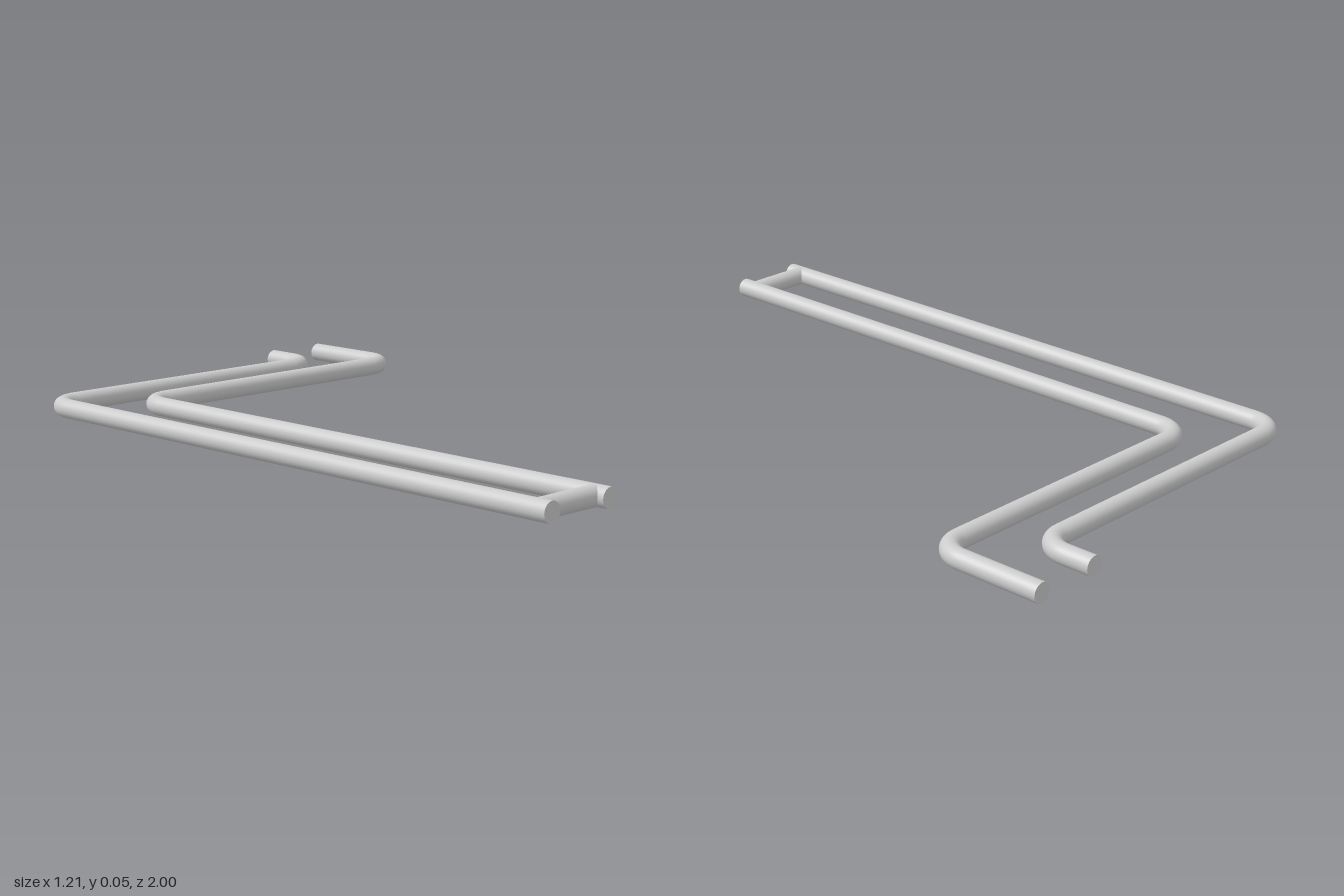
import * as THREE from 'three';
import { mergeGeometries } from 'three/addons/utils/BufferGeometryUtils.js';

const R = 0.0265;   // rod radius
const BEND = 0.077; // centre-line bend radius
const SIDES = 32;

// Round rod through corner points [x, z], with rounded bends and flat end caps
function rodGeometry(corners) {
  const pts = corners.map(([x, z]) => new THREE.Vector3(x, R, z));
  const last = pts.length - 1;
  const parts = [];
  const addTube = (curve, steps) =>
    parts.push(new THREE.TubeGeometry(curve, steps, R, SIDES, false));
  const addCap = (at, outward) => {
    const cap = new THREE.CircleGeometry(R, SIDES);
    cap.applyQuaternion(new THREE.Quaternion().setFromUnitVectors(new THREE.Vector3(0, 0, 1), outward));
    parts.push(cap.translate(at.x, at.y, at.z));
  };
  const dir = (a, b) => b.clone().sub(a).normalize();

  let start = pts[0];
  for (let i = 1; i < last; i++) {
    const p = pts[i], din = dir(pts[i - 1], p), dout = dir(p, pts[i + 1]);
    const along = (d, s) => p.clone().addScaledVector(d, s);
    const a = along(din, -BEND), b = along(dout, BEND);
    const k = BEND * (1 - 0.5523); // quarter-circle handles
    addTube(new THREE.LineCurve3(start, a), 1);
    addTube(new THREE.CubicBezierCurve3(a, along(din, -k), along(dout, k), b), 14);
    start = b;
  }
  addTube(new THREE.LineCurve3(start, pts[last]), 1);
  addCap(pts[0], dir(pts[1], pts[0]));
  addCap(pts[last], dir(pts[last - 1], pts[last]));
  return mergeGeometries(parts);
}

export function createModel() {
  const group = new THREE.Group();
  const material = new THREE.MeshStandardMaterial({ color: 0xcccccc });
  const add = (name, corners) => {
    const mesh = new THREE.Mesh(rodGeometry(corners), material);
    mesh.name = name;
    group.add(mesh);
  };

  // Two cranked rods running side by side
  add('outerRod', [[-0.576, 1], [-0.576, -0.836], [0.391, -0.836], [0.391, -1]]);
  add('innerRod', [[-0.376, 1], [-0.376, -0.68], [0.576, -0.68], [0.576, -1]]);
  // Short bar joining them near the front ends
  add('crossBar', [[-0.576, 0.957], [-0.376, 0.957]]);

  return group;
}
